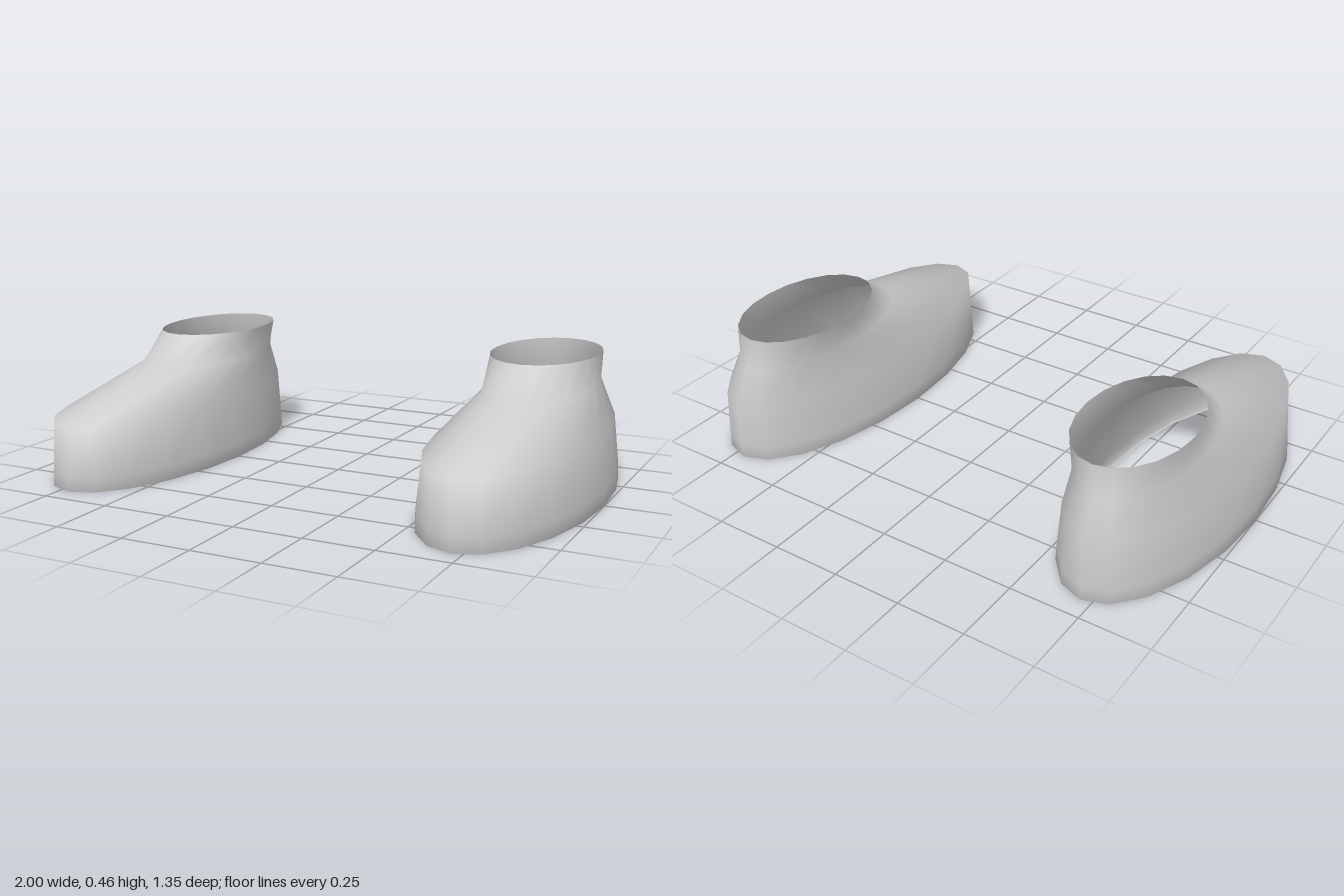
import * as THREE from 'three';

const SIDES = 20;

// Elliptical cross-sections from the turned-in hem up to the collar:
// [y, centre x, centre z, half width, half length]
const RINGS = [
  [0.00, 0.712, 0, 0.272, 0.660],
  [0.00, 0.712, 0, 0.288, 0.675],
  [0.05, 0.712, 0, 0.284, 0.674],
  [0.23, 0.711, 0, 0.260, 0.671],
  [0.345, 0.700, -0.230, 0.186, 0.380],
  [0.455, 0.690, -0.2975, 0.190, 0.2975],
];

// Smooth open shell lofted through the rings; side is +1 (left) or -1 (right)
function shoeGeometry(side) {
  const positions = [];
  const indices = [];
  for (const [y, cx, cz, rx, rz] of RINGS) {
    for (let j = 0; j < SIDES; j++) {
      const a = (j / SIDES) * Math.PI * 2;
      positions.push(side * cx + rx * Math.sin(a), y, cz + rz * Math.cos(a));
    }
  }
  for (let i = 0; i < RINGS.length - 1; i++) {
    for (let j = 0; j < SIDES; j++) {
      const k = (j + 1) % SIDES;
      const a = i * SIDES + j;
      const b = i * SIDES + k;
      const c = a + SIDES;
      const d = b + SIDES;
      indices.push(a, b, d, a, d, c);
    }
  }
  const geometry = new THREE.BufferGeometry();
  geometry.setAttribute('position', new THREE.Float32BufferAttribute(positions, 3));
  geometry.setIndex(indices);
  geometry.computeVertexNormals();
  return geometry;
}

export function createModel() {
  const group = new THREE.Group();
  group.name = 'shoes';

  const lightGrey = new THREE.MeshStandardMaterial({ color: 0xcccccc, side: THREE.DoubleSide });
  lightGrey.name = 'lightGrey';

  // Mirrored pair
  for (const [name, side] of [['leftShoe', 1], ['rightShoe', -1]]) {
    const shoe = new THREE.Mesh(shoeGeometry(side), lightGrey);
    shoe.name = name;
    group.add(shoe);
  }
  return group;
}
